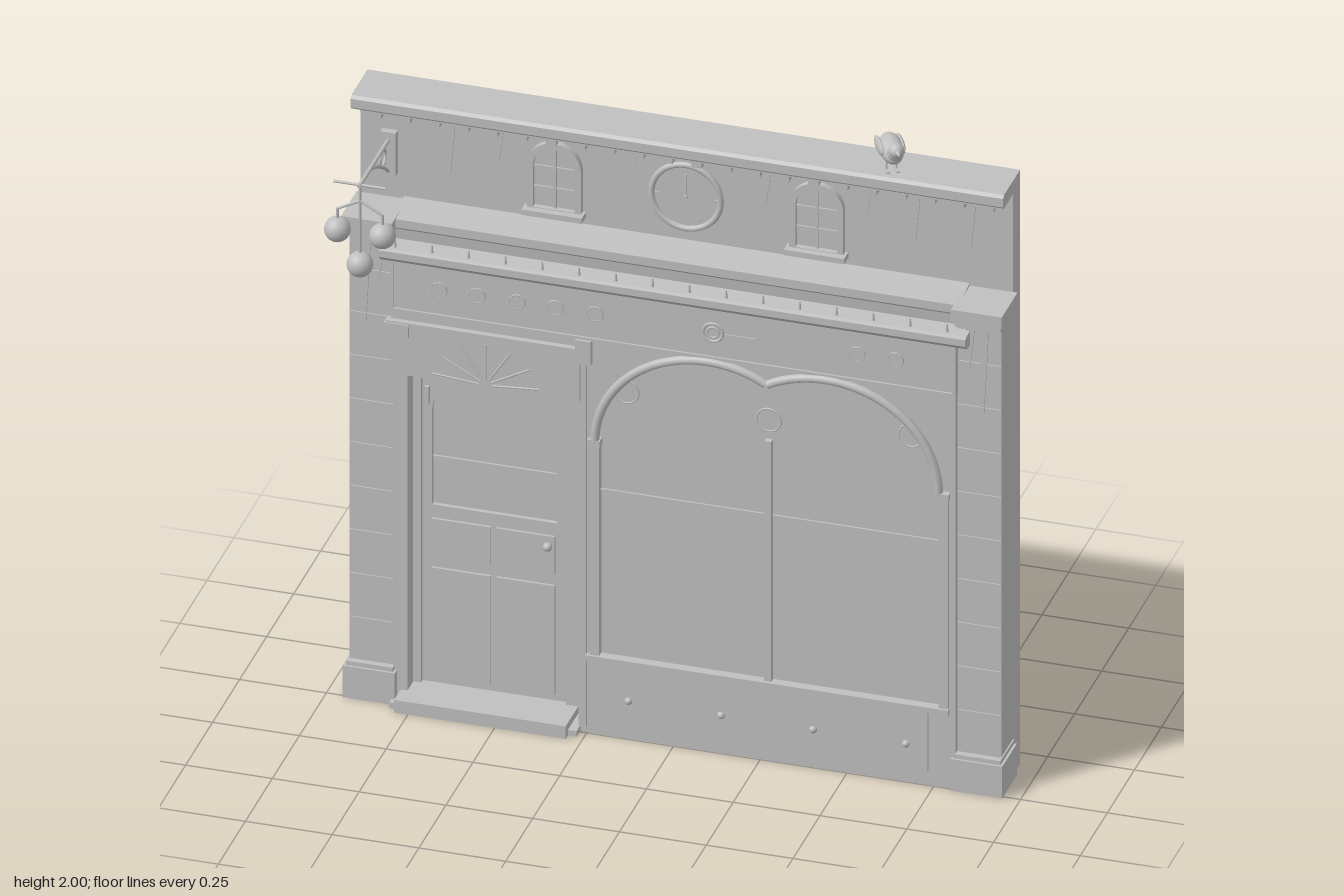
import * as THREE from 'three';

const stone = new THREE.MeshStandardMaterial({ color: 0xbfbfbf, side: THREE.DoubleSide });
stone.name = 'plain grey';

export function createModel() {
  const root = new THREE.Group();
  root.name = 'shopfront';

  const add = (name, geo, x = 0, y = 0, z = 0, parent = root) => {
    const m = new THREE.Mesh(geo, stone);
    m.name = name;
    m.position.set(x, y, z);
    parent.add(m);
    return m;
  };
  // box given by its extents
  const box = (name, x0, x1, y0, y1, z0, z1) =>
    add(name, new THREE.BoxGeometry(x1 - x0, y1 - y0, z1 - z0), (x0 + x1) / 2, (y0 + y1) / 2, (z0 + z1) / 2);
  const ball = (name, r, x, y, z) => add(name, new THREE.SphereGeometry(r, 24, 16), x, y, z);
  const V = (x, y, z) => new THREE.Vector3(x, y, z);
  const rod = (name, a, b, r, r2 = r) => {
    const m = add(name, new THREE.CylinderGeometry(r2, r, a.distanceTo(b), 10));
    m.position.copy(a).add(b).multiplyScalar(0.5);
    m.quaternion.setFromUnitVectors(V(0, 1, 0), b.clone().sub(a).normalize());
  };
  const disc = (name, r, x, y, z, d = 0.008) => {
    const m = add(name, new THREE.CylinderGeometry(r, r, d, 32), x, y, z);
    m.rotation.x = Math.PI / 2;
  };
  const ring = (name, r, t, x, y, z) => add(name, new THREE.TorusGeometry(r, t, 8, 40), x, y, z);
  const extrude = (name, shape, z, depth) =>
    add(name, new THREE.ExtrudeGeometry(shape, { depth, bevelEnabled: false, curveSegments: 20 }), 0, 0, z);
  // moulding: [z, y] profile run along x
  const moulding = (name, pts, x0, x1) => {
    const s = new THREE.Shape(pts.map(([z, y]) => new THREE.Vector2(-z, y)));
    const m = add(name, new THREE.ExtrudeGeometry(s, { depth: x1 - x0, bevelEnabled: false }), x0, 0, 0);
    m.rotation.y = Math.PI / 2;
  };
  const rect = (x0, x1, y0, y1, C = THREE.Shape) => {
    const s = new C();
    s.moveTo(x0, y0); s.lineTo(x1, y0); s.lineTo(x1, y1); s.lineTo(x0, y1); s.closePath();
    return s;
  };
  // rectangle with a round or flattened arch on top
  const arched = (x0, x1, y0, ySpring, rise, C = THREE.Shape) => {
    const s = new C();
    s.moveTo(x0, y0); s.lineTo(x1, y0); s.lineTo(x1, ySpring);
    s.absellipse((x0 + x1) / 2, ySpring, (x1 - x0) / 2, rise, 0, Math.PI, false, 0);
    s.closePath();
    return s;
  };
  // thin tapering streak hanging from y
  const drip = (x, y, l, z) => {
    const s = new THREE.Shape([[x - 0.012, y], [x - 0.006, y - l * 0.6], [x, y - l],
      [x + 0.008, y - l * 0.5], [x + 0.014, y]].map((p) => new THREE.Vector2(...p)));
    extrude('drip', s, z, 0.005);
  };

  // wall and top cornice
  box('wall', -0.94, 0.94, 0, 1.86, -0.188, -0.125);
  moulding('topCornice', [[-0.188, 1.84], [-0.188, 1.88], [-0.135, 1.88], [-0.132, 1.874], [-0.129, 1.88], [-0.04, 1.88],
    [-0.031, 1.872], [-0.031, 1.845], [-0.04, 1.837]], -0.94, 0.94);
  box('corniceLedge', -0.925, 0.925, 1.815, 1.84, -0.126, -0.07);
  for (let i = 0; i < 22; i++) {
    const x = -0.885 + i * 0.084;
    box('dentil', x - 0.015, x + 0.015, 1.788, 1.816, -0.126, -0.088);
  }
  for (const [x, l] of [[-0.68, 0.18], [-0.54, 0.12], [-0.15, 0.06], [0.23, 0.12], [0.52, 0.1], [0.66, 0.17], [0.82, 0.16]])
    drip(x, 1.81, l, -0.126);

  // small arched upper windows
  for (const c of [-0.378, 0.378]) {
    const frame = arched(c - 0.078, c + 0.078, 1.57, 1.705, 0.078);
    frame.holes.push(arched(c - 0.06, c + 0.06, 1.575, 1.705, 0.06, THREE.Path));
    extrude('upperWindowFrame', frame, -0.126, 0.02);
    extrude('upperWindowPane', arched(c - 0.06, c + 0.06, 1.575, 1.705, 0.06), -0.126, 0.004);
    box('upperWindowBar', c - 0.004, c + 0.004, 1.575, 1.765, -0.124, -0.115);
    for (const y of [1.635, 1.7]) box('upperWindowBar', c - 0.06, c + 0.06, y - 0.003, y + 0.003, -0.124, -0.117);
    box('upperWindowSill', c - 0.087, c + 0.087, 1.556, 1.573, -0.126, -0.085);
  }

  // clock
  disc('clockFace', 0.1, 0, 1.675, -0.122);
  ring('clockRim', 0.1, 0.009, 0, 1.675, -0.117);
  disc('clockPin', 0.006, 0, 1.675, -0.114, 0.012);
  rod('clockHand', V(0, 1.675, -0.117), V(0, 1.745, -0.117), 0.003);
  rod('clockHand', V(0, 1.675, -0.117), V(-0.035, 1.71, -0.117), 0.003);
  for (let i = 0; i < 12; i++) {
    const a = i * Math.PI / 6, s = Math.sin(a), c = Math.cos(a);
    rod('clockMark', V(s * 0.08, 1.675 + c * 0.08, -0.118), V(s * 0.09, 1.675 + c * 0.09, -0.118), 0.0015);
  }

  // side piers faced with courses, with base and capital
  for (const s of [-1, 1]) {
    const span = (name, a, b, y0, y1, z0, z1) => box(name, Math.min(s * a, s * b), Math.max(s * a, s * b), y0, y1, z0, z1);
    span('pierCore', 0.812, 0.939, 0.1, 1.5, -0.126, -0.02);
    for (let i = 0; i < 10; i++) {
      const y = 0.11 + i * 0.138;
      span('pierCourse', 0.813, 0.938, y, y + 0.135, -0.021, -0.016);
    }
    span('pierBase', 0.8, 0.95, 0, 0.1, -0.126, 0.01);
    span('pierBaseTop', 0.808, 0.943, 0.1, 0.113, -0.126, 0.003);
    span('pierCapital', 0.805, 0.952, 1.49, 1.527, -0.126, 0.02);
    span('pierCapitalNeck', 0.81, 0.942, 1.465, 1.49, -0.126, 0);
    drip(s * 0.89, 1.47, 0.28, -0.017);
    drip(s * 0.85, 1.47, 0.14, -0.017);
  }

  // middle cornice, lower cornice and its spikes
  moulding('middleCornice', [[-0.126, 1.4], [-0.126, 1.535], [-0.09, 1.53], [-0.015, 1.523], [-0.015, 1.497],
    [-0.03, 1.485], [-0.035, 1.44], [-0.02, 1.4]], -0.815, 0.815);
  moulding('lowerCornice', [[-0.06, 1.405], [-0.06, 1.455], [0.02, 1.447], [0.03, 1.443], [0.03, 1.422], [0.012, 1.405]], -0.84, 0.85);
  for (let i = 0; i < 16; i++) rod('spike', V(-0.8 + i * 0.106, 1.444, 0.007), V(-0.8 + i * 0.106, 1.472, 0.007), 0.005, 0.002);

  // sign board with round ornaments
  box('signBoard', -0.815, 0.815, 1.245, 1.41, -0.126, 0);
  const border = rect(-0.815, 0.815, 1.243, 1.408);
  border.holes.push(rect(-0.805, 0.805, 1.253, 1.398, THREE.Path));
  extrude('signBorder', border, 0, 0.006);
  for (const x of [-0.675, -0.565, -0.45, -0.34, -0.225, 0.53, 0.64]) {
    disc('signRosette', 0.024, x, 1.33, 0.001, 0.006);
    ring('signRosetteRim', 0.022, 0.002, x, 1.33, 0.003);
  }
  ring('signRing', 0.028, 0.004, 0.115, 1.33, 0.004);
  ring('signRing', 0.016, 0.003, 0.115, 1.33, 0.004);
  box('signBar', 0.15, 0.24, 1.323, 1.329, 0, 0.004);

  // display window: facade with a twin-arched opening and a pane near the front
  const arch = [];
  for (let i = 0; i <= 24; i++) {
    const a = Math.PI - (i / 24) * (Math.PI - 1.03);
    arch.push([0.1 + 0.325 * Math.cos(a), 0.93 + 0.305 * Math.sin(a)]);
  }
  const both = [...arch, ...arch.slice(0, -1).reverse().map(([x, y]) => [0.54 - x, y])];
  const facade = rect(-0.25, 0.812, 0.24, 1.25);
  facade.holes.push(new THREE.Path([[-0.225, 0.25], ...both, [0.765, 0.25]].map((p) => new THREE.Vector2(...p))));
  extrude('windowSurround', facade, -0.05, 0.045);
  const half = (mirror) => new THREE.CatmullRomCurve3(arch.map(([x, y]) => V(mirror ? 0.54 - x : x, y, 0.003)));
  for (const m of [false, true]) add('archMoulding', new THREE.TubeGeometry(half(m), 40, 0.013, 8));
  for (const x of [-0.227, 0.779]) {
    box('windowColumn', x - 0.014, x + 0.014, 0.24, 0.93, -0.05, 0.005);
    box('columnCap', x - 0.018, x + 0.018, 0.915, 0.935, -0.05, 0.014);
  }
  box('outerPost', 0.795, 0.812, 0, 1.25, -0.126, 0);
  box('windowPane', -0.24, 0.79, 0.24, 1.25, -0.024, -0.016);
  box('mullion', 0.262, 0.282, 0.24, 1.01, -0.02, 0.002);
  box('transom', -0.22, 0.77, 0.767, 0.773, -0.02, -0.01);
  for (const [x, y] of [[-0.14, 1.09], [0.27, 1.07], [0.68, 1.09]]) {
    disc('paneRosette', 0.036, x, y, -0.016, 0.006);
    ring('paneRosetteRim', 0.035, 0.003, x, y, -0.014);
  }

  // panel below the window
  box('stallRiser', -0.245, 0.795, 0, 0.235, -0.126, 0);
  box('windowSill', -0.25, 0.795, 0.235, 0.252, -0.126, 0.012);
  box('stallPanel', -0.195, 0.735, 0.05, 0.235, 0, 0.008);
  for (const x of [-0.127, 0.14, 0.405, 0.672]) ball('panelStud', 0.011, x, 0.126, 0.008);

  // doorway
  box('leftDoorPost', -0.812, -0.77, 0, 1.22, -0.126, -0.012);
  box('rightDoorPost', -0.275, -0.24, 0, 1.22, -0.126, -0.005);
  box('doorPostTrim', -0.262, -0.25, 0.02, 1.22, -0.006, 0.008);
  box('leftDoorJamb', -0.77, -0.748, 0.04, 1.06, -0.126, -0.065);
  box('rightDoorJamb', -0.33, -0.275, 0.04, 1.06, -0.126, -0.065);
  box('postCorbel', -0.28, -0.235, 1.17, 1.245, -0.06, 0.014);
  box('doorStep', -0.79, -0.295, 0, 0.04, -0.126, 0.05);
  box('stepFoot', -0.81, -0.27, 0, 0.018, -0.126, 0.03);
  const door = rect(-0.748, -0.33, 0.04, 1.045);
  door.holes.push(arched(-0.72, -0.36, 0.6, 0.9, 0.12, THREE.Path));
  extrude('door', door, -0.105, 0.025);
  box('doorPane', -0.73, -0.35, 0.59, 1.03, -0.102, -0.093);
  box('doorPaneBar', -0.72, -0.36, 0.745, 0.752, -0.096, -0.086);
  for (const [x0, x1] of [[-0.72, -0.55], [-0.533, -0.365]]) {
    box('upperDoorPanel', x0, x1, 0.44, 0.56, -0.085, -0.072);
    box('lowerDoorPanel', x0, x1, 0.06, 0.405, -0.085, -0.072);
  }
  ball('doorKnob', 0.013, -0.383, 0.53, -0.065);
  box('doorHinge', -0.74, -0.727, 0.92, 0.975, -0.082, -0.07);

  // fan panel over the door
  box('fanPanel', -0.812, -0.27, 1.045, 1.21, -0.126, 0.004);
  box('fanPanelTop', -0.825, -0.265, 1.2, 1.215, -0.126, 0.012);
  box('fanPanelEnd', -0.83, -0.76, 1.17, 1.21, -0.02, 0.016);
  box('lintel', -0.815, -0.24, 1.21, 1.25, -0.126, -0.005);
  for (let i = 0; i < 7; i++) {
    const a = 0.1 + i * (Math.PI - 0.2) / 6, s = Math.sin(a), c = Math.cos(a);
    rod('fanRay', V(-0.54 + 0.02 * c, 1.052 + 0.02 * s, 0.004), V(-0.54 + 0.155 * c, 1.052 + 0.13 * s, 0.004), 0.003);
  }

  // hanging bracket with three balls
  const X = -0.855;
  box('bracketPlate', X - 0.022, X + 0.022, 1.605, 1.74, -0.126, -0.105);
  rod('bracketArm', V(X, 1.715, -0.11), V(X, 1.715, 0.165), 0.006);
  rod('bracketCrossbar', V(X - 0.075, 1.715, 0.155), V(X + 0.075, 1.715, 0.155), 0.004);
  const brace = new THREE.QuadraticBezierCurve3(V(X, 1.712, 0.06), V(X, 1.69, -0.02), V(X, 1.615, -0.11));
  add('bracketBrace', new THREE.TubeGeometry(brace, 20, 0.005, 8));
  ring('bracketRing', 0.025, 0.004, X, 1.685, -0.055).rotation.y = Math.PI / 2;
  rod('ballRod', V(X, 1.715, 0.155), V(X, 1.49, 0.155), 0.004);
  ball('hangingBall', 0.037, X, 1.465, 0.155);
  for (const s of [-0.065, 0.065]) {
    rod('ballRod', V(X, 1.665, 0.155), V(X + s, 1.63, 0.155), 0.004);
    rod('ballRod', V(X + s, 1.632, 0.155), V(X + s, 1.59, 0.155), 0.004);
    ball('hangingBall', 0.037, X + s, 1.565, 0.155);
  }

  // bird, built facing +z and then turned
  const bird = new THREE.Group();
  bird.name = 'bird';
  const part = (name, r, x, y, z, sx, sy, sz, tilt = 0) => {
    const m = add(name, new THREE.SphereGeometry(r, 20, 14), x, y, z, bird);
    m.scale.set(sx, sy, sz);
    m.rotation.x = tilt;
  };
  part('birdBody', 0.036, 0, 0.065, 0, 0.95, 0.95, 1.75, 0.1);
  part('birdNeck', 0.022, 0, 0.08, 0.052, 1, 1.1, 1);
  part('birdHead', 0.022, 0, 0.097, 0.07, 1, 1, 1.1);
  part('birdTail', 0.02, 0, 0.046, -0.078, 0.9, 0.3, 2, -0.25);
  const beak = add('birdBeak', new THREE.ConeGeometry(0.008, 0.024, 10), 0, 0.1, 0.102, bird);
  beak.rotation.x = Math.PI / 2;
  for (const s of [-1, 1]) {
    part('birdWing', 0.026, s * 0.03, 0.066, -0.02, 0.35, 0.8, 2.1, -0.1);
    add('birdLeg', new THREE.CylinderGeometry(0.003, 0.003, 0.036, 8), s * 0.014, 0.018, 0.005, bird);
    add('birdFoot', new THREE.BoxGeometry(0.01, 0.004, 0.03), s * 0.014, 0.002, 0.012, bird);
  }
  bird.position.set(0.6, 1.88, -0.088);
  bird.rotation.y = 0.5;
  root.add(bird);

  return root;
}
